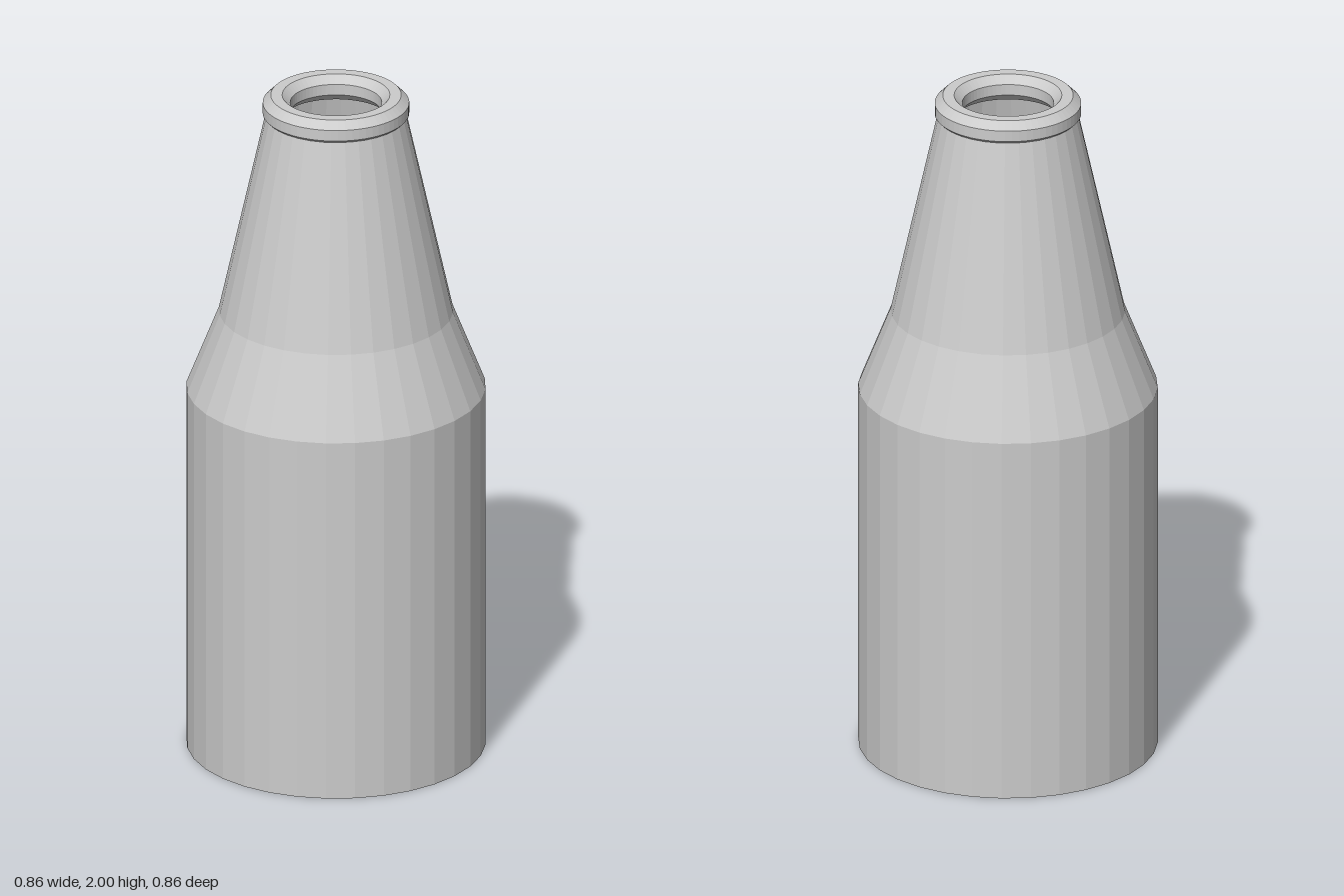
import * as THREE from 'three';

const material = new THREE.MeshStandardMaterial({
  color: 0xcccccc, flatShading: true, side: THREE.DoubleSide,
});

// Revolves a list of [radius, height] points around the y axis
function revolve(name, profile, segments) {
  const points = profile.map(([r, y]) => new THREE.Vector2(r, y));
  const mesh = new THREE.Mesh(new THREE.LatheGeometry(points, segments), material);
  mesh.name = name;
  return mesh;
}

export function createModel() {
  const bottle = new THREE.Group();
  bottle.name = 'bottle';

  // Hollow, faceted shell, split where the slope changes
  const sides = 32;
  bottle.add(revolve('base', [[0, 0], [0.428, 0]], sides));
  bottle.add(revolve('body', [[0.428, 0], [0.428, 1.1]], sides));
  bottle.add(revolve('shoulder', [[0.428, 1.1], [0.335, 1.335]], sides));
  bottle.add(revolve('neck', [[0.335, 1.335], [0.2, 1.945]], sides));

  // Rolled lip: an eight-sided ring with a flat top around the open mouth
  const ringRadius = 0.17, tube = 0.0425, centreY = 1.961;
  const section = [];
  for (let i = 0; i <= 8; i++) {
    const a = (i + 0.5) * Math.PI / 4;
    section.push([ringRadius + tube * Math.cos(a), centreY + tube * Math.sin(a)]);
  }
  bottle.add(revolve('lip', section, 64));

  return bottle;
}
